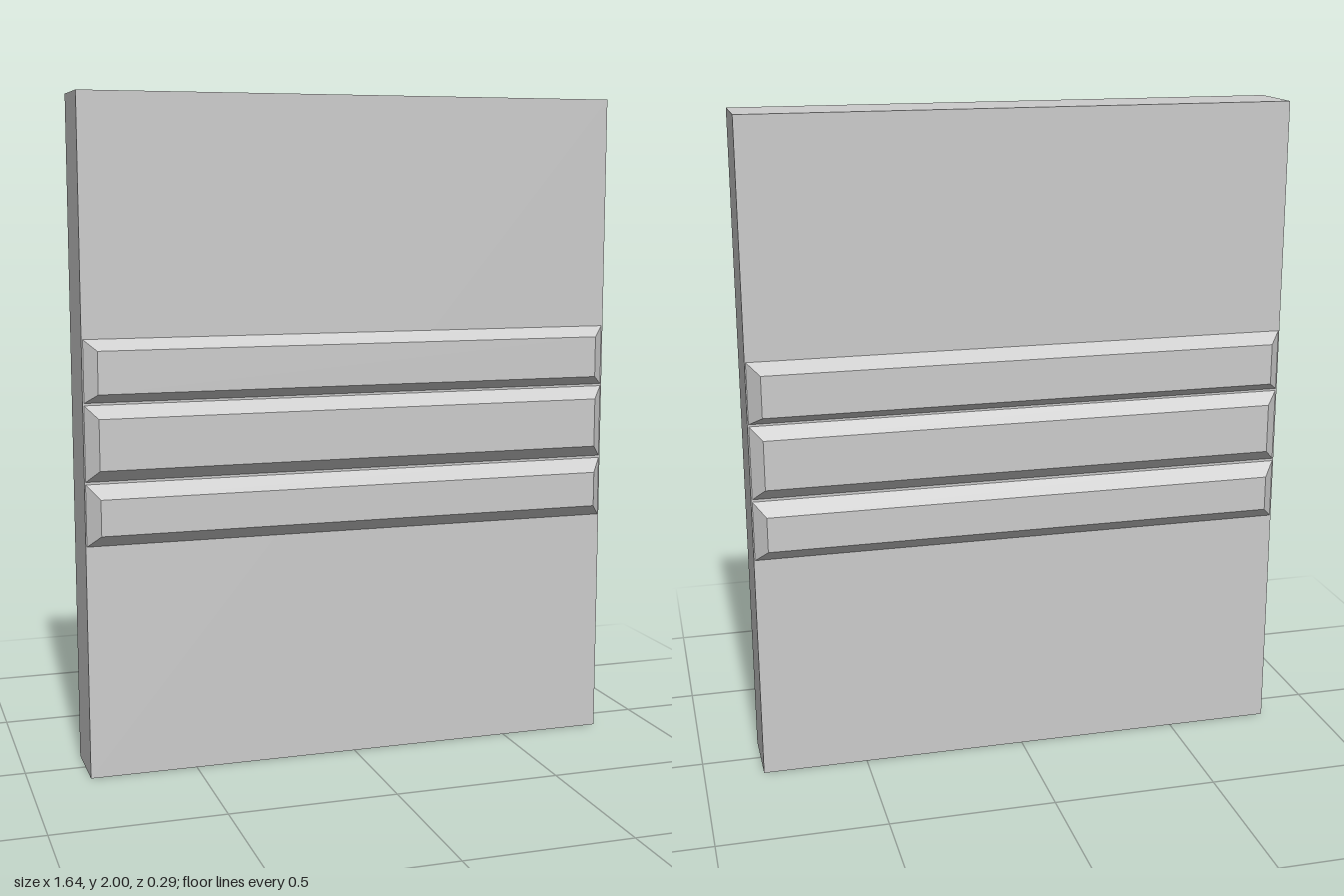
import * as THREE from 'three';

const W = 0.82, FACE = 0.104, INSET = 0.04;

// Bar with a bevelled front: the outer face is narrower than the base on all four sides
function bevelledBar(y0, y1, outer0, outer1, depth) {
  const geo = new THREE.BoxGeometry(2, 2, 1).toNonIndexed();
  const p = geo.attributes.position;
  for (let i = 0; i < p.count; i++) {
    const out = p.getZ(i) > 0, top = p.getY(i) > 0;
    const x = Math.sign(p.getX(i)) * (out ? W - INSET : W);
    const y = top ? (out ? outer1 : y1) : (out ? outer0 : y0);
    p.setXYZ(i, x, y, out ? depth : FACE - 0.004);
  }
  geo.computeVertexNormals();
  return geo;
}

export function createModel() {
  const group = new THREE.Group();
  const material = new THREE.MeshStandardMaterial({ color: 0xcccccc, flatShading: true });
  const add = (name, geo) => {
    const mesh = new THREE.Mesh(geo, material);
    mesh.name = name;
    group.add(mesh);
    return mesh;
  };

  // Main slab
  add('panel', new THREE.BoxGeometry(2 * W, 2, 2 * FACE)).position.y = 1;

  // Three rails on each face: base bottom/top, outer bottom/top, front and back depth
  const rails = [
    ['upperRail', 1.115, 1.305, 1.145, 1.27, 0.138, 0.147],
    ['middleRail', 0.885, 1.115, 0.925, 1.075, 0.143, 0.14],
    ['lowerRail', 0.695, 0.885, 0.735, 0.842, 0.147, 0.144],
  ];
  for (const [name, y0, y1, o0, o1, front, back] of rails) {
    add(name + 'Front', bevelledBar(y0, y1, o0, o1, front));
    add(name + 'Back', bevelledBar(y0, y1, o0, o1, back)).rotation.y = Math.PI;
  }
  return group;
}
